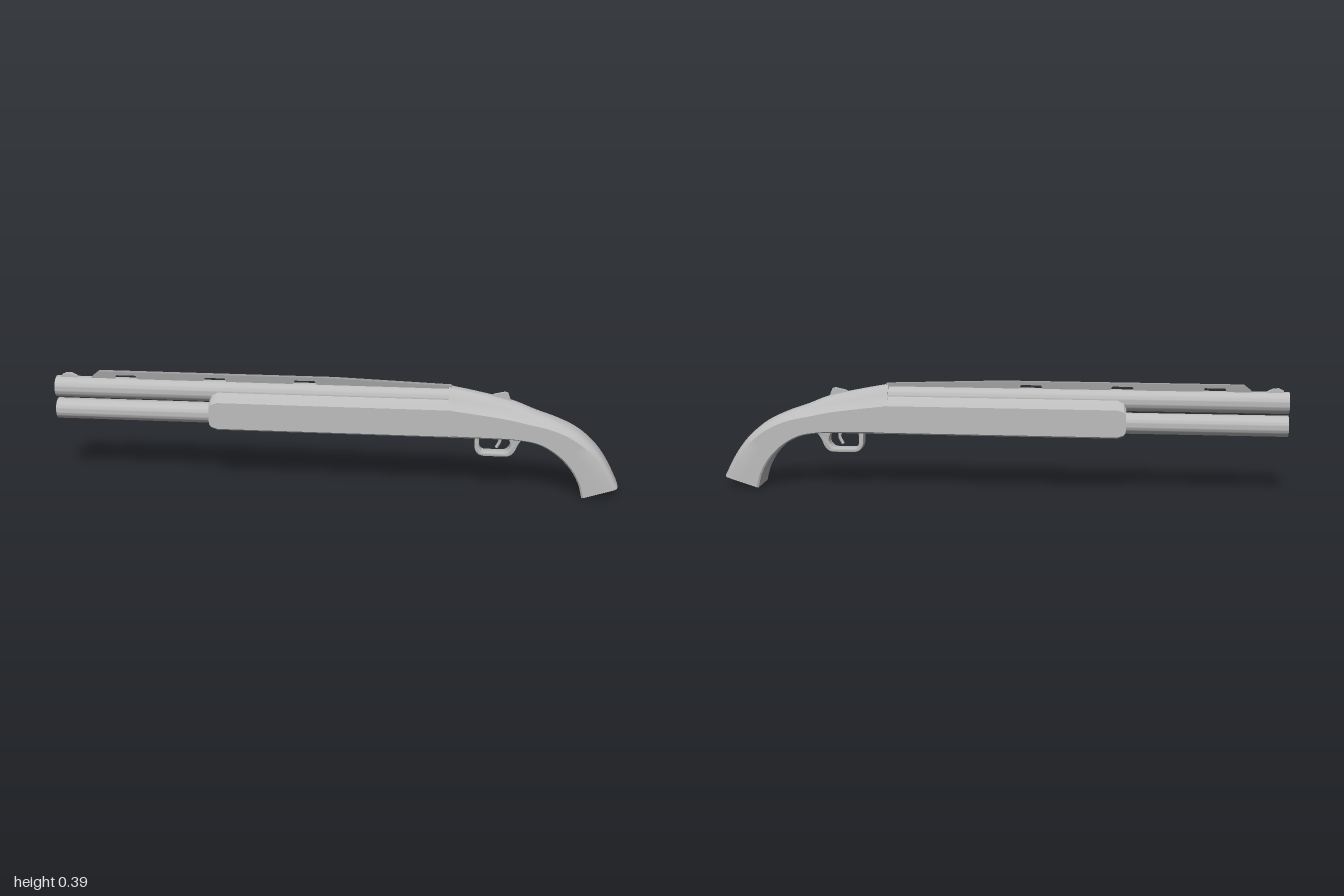
import * as THREE from 'three';
import { toCreasedNormals } from 'three/addons/utils/BufferGeometryUtils.js';

// Half cross-sections as [half width, fraction of height], bottom to top
const FLAT = [[0, 0], [0.06, 0], [0.065, 0.04], [0.065, 0.4], [0.065, 0.77], [0.056, 0.86], [0.046, 0.94], [0.038, 1], [0.02, 1], [0, 1]];
const DOME = [[0, 0], [0.06, 0], [0.065, 0.04], [0.065, 0.35], [0.065, 0.59], [0.05, 0.7], [0.04, 0.8], [0.031, 0.91], [0.017, 0.985], [0, 1]];
const BUTT = [[0, 0], [0.06, 0], [0.065, 0.05], [0.065, 0.4], [0.065, 0.86], [0.063, 0.92], [0.057, 0.965], [0.047, 0.99], [0.025, 1], [0, 1]];

// Full ring of points between a bottom and a top point, blending two sections
function ring(bottom, top, from, to, k) {
  const half = from.map((p, i) => [p[0] + (to[i][0] - p[0]) * k, p[1] + (to[i][1] - p[1]) * k]);
  const other = half.slice(1, -1).reverse().map(([w, t]) => [-w, t]);
  return [...half, ...other].map(([w, t]) => [
    bottom.x + (top.x - bottom.x) * t, bottom.y + (top.y - bottom.y) * t, w]);
}

// Skin a list of rings and close both ends
function loft(rings) {
  const n = rings[0].length, last = (rings.length - 1) * n, index = [];
  for (let i = 0; i < rings.length - 1; i++) {
    for (let j = 0; j < n; j++) {
      const a = i * n + j, b = a + n, d = i * n + (j + 1) % n, c = d + n;
      index.push(a, b, c, a, c, d);
    }
  }
  for (let j = 1; j < n - 1; j++) {
    index.push(0, j, j + 1, last, last + j + 1, last + j);
  }
  const g = new THREE.BufferGeometry();
  g.setAttribute('position', new THREE.Float32BufferAttribute(rings.flat(2), 3));
  g.setIndex(index);
  return toCreasedNormals(g, 0.55);
}

// Side outline extruded evenly about z = 0
function plate(shape, width, bevel = 0) {
  const depth = width - 2 * bevel;
  const g = new THREE.ExtrudeGeometry(shape, {
    depth, curveSegments: 12, bevelEnabled: bevel > 0, bevelSize: bevel, bevelThickness: bevel, bevelOffset: -bevel, bevelSegments: 2,
  });
  g.translate(0, 0, -depth / 2);
  return toCreasedNormals(g, 0.6);
}

const outline = (pts) => new THREE.Shape(pts.map(([x, y]) => new THREE.Vector2(x, y)));

export function createModel() {
  const model = new THREE.Group();
  const grey = new THREE.MeshStandardMaterial({ color: 0xbcbcbc });
  grey.name = 'light grey';
  const darkGrey = new THREE.MeshStandardMaterial({ color: 0xa0a0a0 });
  darkGrey.name = 'mid grey';
  const add = (name, geometry, material = grey) => {
    const mesh = new THREE.Mesh(geometry, material);
    mesh.name = name;
    model.add(mesh);
    return mesh;
  };

  // Two hollow tubes, one above the other
  [['upperTube', 0.335, 0.038], ['lowerTube', 0.253, 0.037]].forEach(([name, y, r]) => {
    const profile = [[r, 0], [r, 1.42], [r - 0.007, 1.42], [r - 0.007, 1], [0, 1]]
      .map(([a, b]) => new THREE.Vector2(a, b));
    const g = new THREE.LatheGeometry(profile, 40);
    g.rotateZ(Math.PI / 2);
    add(name, toCreasedNormals(g, 0.6)).position.set(0.42, y, 0);
  });

  // Straight fore-end with a chamfered nose
  const fore = [[-0.44, 0.228, 0.312], [-0.432, 0.217, 0.328], [-0.41, 0.209, 0.34], [0.41, 0.209, 0.34]];
  add('foreEnd', loft(fore.map(([x, lo, hi]) =>
    ring(new THREE.Vector2(x, lo), new THREE.Vector2(x, hi), FLAT, FLAT, 0))));

  // Domed body sweeping down into the curved grip; z of the top curve is the blend
  const topCurve = new THREE.CatmullRomCurve3([
    [0.4, 0.38, 0], [0.5, 0.361, 0], [0.61, 0.336, 0.05], [0.7, 0.301, 0.2], [0.785, 0.269, 0.45],
    [0.86, 0.229, 0.65], [0.925, 0.168, 0.82], [0.965, 0.108, 0.92], [0.998, 0.042, 1],
  ].map((p) => new THREE.Vector3(...p)));
  const bottomCurve = new THREE.CatmullRomCurve3([
    [0.4, 0.209], [0.48, 0.209], [0.56, 0.209], [0.64, 0.207], [0.715, 0.194],
    [0.775, 0.16], [0.826, 0.11], [0.858, 0.055], [0.873, 0.002],
  ].map(([x, y]) => new THREE.Vector3(x, y, 0)));
  const rings = [];
  for (let i = 0; i <= 40; i++) {
    const top = topCurve.getPoint(i / 40);
    rings.push(ring(bottomCurve.getPoint(i / 40), top, DOME, BUTT, THREE.MathUtils.clamp(top.z, 0, 1)));
  }
  add('bodyAndGrip', loft(rings));

  // Raised rib with openings along its underside
  const rib = [[-0.87, 0.365], [-0.87, 0.376], [-0.845, 0.396], [0, 0.396], [0.41, 0.382], [0.41, 0.365]];
  [-0.105, -0.425, -0.745].forEach((x) => {
    rib.push([x + 0.045, 0.365], [x + 0.035, 0.384], [x - 0.035, 0.384], [x - 0.045, 0.365]);
  });
  add('topRib', plate(outline(rib), 0.02), darkGrey);

  // Small front bead and rear catch
  add('frontBead', plate(outline([[-0.985, 0.365], [-0.98, 0.378], [-0.965, 0.385], [-0.945, 0.384],
    [-0.925, 0.374], [-0.92, 0.365]]), 0.02));
  add('rearCatch', plate(outline([[0.54, 0.345], [0.56, 0.355], [0.595, 0.363], [0.606, 0.36],
    [0.617, 0.33], [0.55, 0.33]]), 0.012));

  // Looped guard under the body
  const guard = new THREE.Shape();
  guard.moveTo(0.495, 0.215);
  guard.lineTo(0.495, 0.168);
  guard.quadraticCurveTo(0.497, 0.131, 0.535, 0.131);
  guard.lineTo(0.602, 0.131);
  guard.quadraticCurveTo(0.628, 0.131, 0.64, 0.16);
  guard.quadraticCurveTo(0.655, 0.2, 0.675, 0.205);
  guard.lineTo(0.675, 0.215);
  const hole = new THREE.Path();
  hole.moveTo(0.511, 0.2);
  hole.lineTo(0.612, 0.2);
  hole.quadraticCurveTo(0.628, 0.17, 0.612, 0.155);
  hole.quadraticCurveTo(0.605, 0.145, 0.59, 0.145);
  hole.lineTo(0.535, 0.145);
  hole.quadraticCurveTo(0.511, 0.145, 0.511, 0.17);
  guard.holes.push(hole);
  add('guardLoop', plate(guard, 0.044, 0.003));

  // Curved lever inside the loop
  const lever = new THREE.CatmullRomCurve3([
    new THREE.Vector3(0.575, 0.212, 0), new THREE.Vector3(0.584, 0.185, 0), new THREE.Vector3(0.572, 0.158, 0)]);
  add('lever', new THREE.TubeGeometry(lever, 12, 0.006, 8));

  return model;
}
